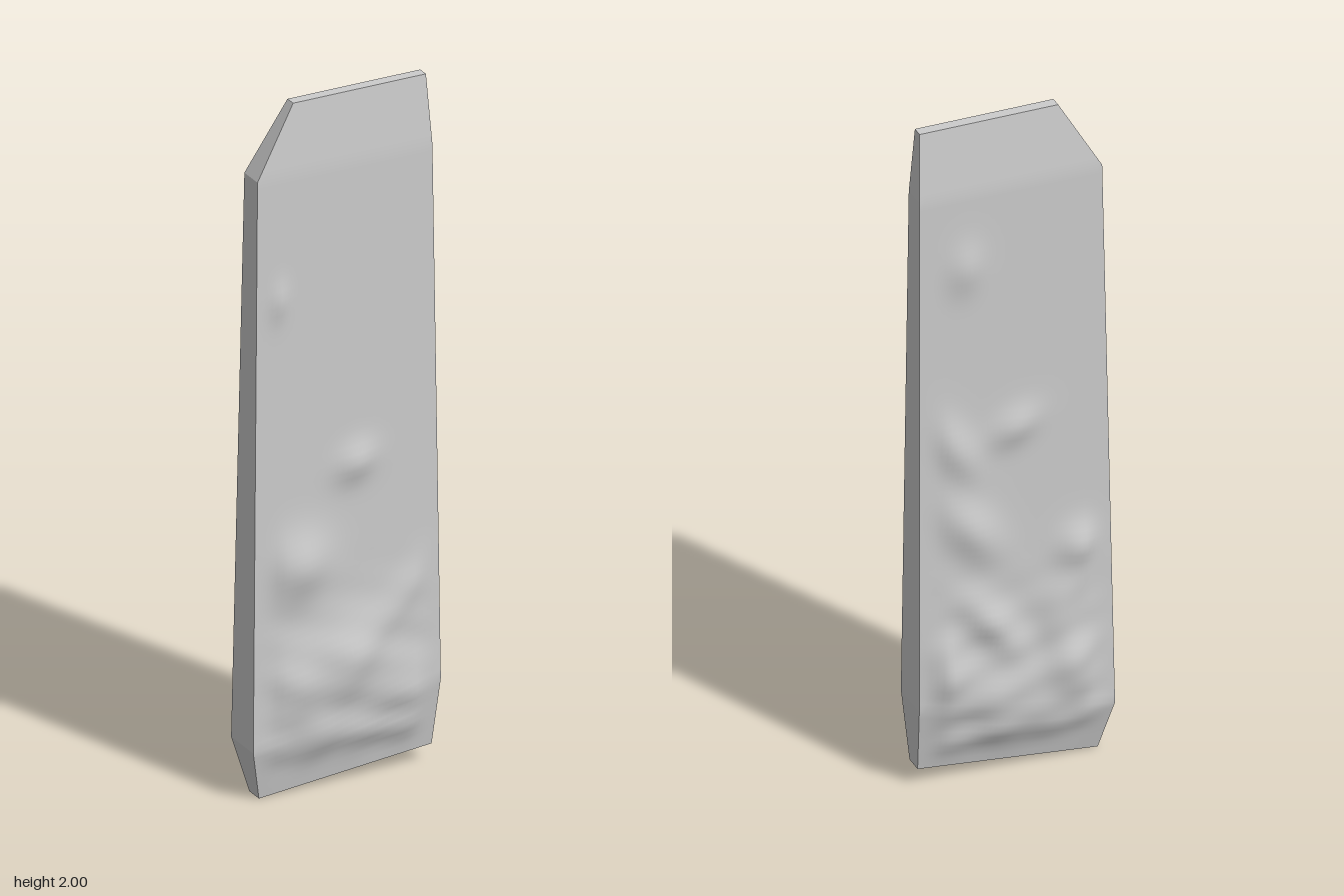
import * as THREE from 'three';

// Outline stations from foot to tip: left edge, right edge, front and back depth
const stations = [
  { l: [-0.25, 0], r: [0.27, 0.05], f: 0.025, b: -0.03 },
  { l: [-0.283, 0.15], r: [0.282, 0.25], f: 0.055, b: -0.07 },
  { l: [-0.257, 1.8], r: [0.27, 1.8], f: 0.03, b: -0.044 },
  { l: [-0.14, 2], r: [0.26, 2], f: 0.012, b: -0.02 },
];
const splits = [8, 70, 8];

// Worn lumps: x, y, x radius, y radius, tilt, height
const frontLumps = [
  [0.03, 0.93, 0.06, 0.05, 0.3, 0.02], [-0.14, 0.66, 0.09, 0.09, 0.4, 0.03],
  [0.0, 0.36, 0.12, 0.11, -0.3, 0.036], [0.15, 0.5, 0.05, 0.13, -0.7, 0.016],
  [-0.15, 0.3, 0.08, 0.12, 0.5, 0.022], [0.17, 0.25, 0.08, 0.08, 0, 0.018],
  [-0.05, 0.14, 0.16, 0.05, 0, 0.018], [0.16, 0.13, 0.1, 0.04, 0, 0.013],
  [-0.2, 1.44, 0.03, 0.05, 0, 0.012],
];
const backLumps = [
  [0.0, 1.06, 0.07, 0.05, -0.4, 0.018], [0.17, 1.02, 0.05, 0.11, -0.5, 0.02],
  [0.13, 0.77, 0.06, 0.12, -0.6, 0.026], [-0.18, 0.66, 0.06, 0.06, 0, 0.025],
  [-0.13, 0.5, 0.06, 0.1, 0.3, 0.02], [0.08, 0.48, 0.05, 0.14, -0.7, 0.024],
  [0.21, 0.35, 0.06, 0.12, -0.3, 0.032], [-0.15, 0.3, 0.08, 0.1, 0.4, 0.03],
  [0.04, 0.25, 0.08, 0.1, -0.4, 0.024], [0, 0.12, 0.24, 0.05, 0, 0.02],
  [0.14, 1.57, 0.05, 0.07, 0, 0.014],
];

const mix = THREE.MathUtils.lerp;

function lumpHeight(lumps, x, y) {
  let sum = 0;
  for (const [cx, cy, rx, ry, tilt, h] of lumps) {
    const c = Math.cos(tilt), s = Math.sin(tilt);
    const dx = x - cx, dy = y - cy;
    const a = (dx * c + dy * s) / rx, b = (dy * c - dx * s) / ry;
    sum += h * Math.exp(-(a * a + b * b));
  }
  // Fine chipping fades out towards the tip
  const worn = 1 - THREE.MathUtils.smoothstep(y, 0.3, 0.75);
  return sum + worn * 0.0035 * Math.sin(x * 31 + y * 19) * Math.sin(y * 37 - x * 13);
}

// Rows of the outline, subdivided between the stations
const rows = [];
splits.forEach((n, k) => {
  const a = stations[k], b = stations[k + 1];
  for (let i = k ? 1 : 0; i <= n; i++) {
    const t = i / n;
    rows.push({
      l: [mix(a.l[0], b.l[0], t), mix(a.l[1], b.l[1], t)],
      r: [mix(a.r[0], b.r[0], t), mix(a.r[1], b.r[1], t)],
      f: mix(a.f, b.f, t), b: mix(a.b, b.b, t),
    });
  }
});

// Surface point across a row; side is 'f' or 'b'
function facePoint(row, u, side) {
  const x = mix(row.l[0], row.r[0], u), y = mix(row.l[1], row.r[1], u);
  const edge = Math.min(1, Math.min(u, 1 - u) * 7);
  const foot = THREE.MathUtils.smoothstep(y, 0.03, 0.16);
  const h = lumpHeight(side === 'f' ? frontLumps : backLumps, x, y) * edge * foot;
  return [x, y, row[side] + (side === 'f' ? h : -h)];
}

// Grid of quads through a list of point rows
function sheet(grid, material, name) {
  const w = grid[0].length, index = [];
  for (let j = 0; j < grid.length - 1; j++) {
    for (let i = 0; i < w - 1; i++) {
      const a = j * w + i, c = a + w;
      index.push(a, a + 1, c + 1, a, c + 1, c);
    }
  }
  const geo = new THREE.BufferGeometry();
  geo.setAttribute('position', new THREE.Float32BufferAttribute(grid.flat(2), 3));
  geo.setIndex(index);
  geo.computeVertexNormals();
  const mesh = new THREE.Mesh(geo, material);
  mesh.name = name;
  return mesh;
}

export function createModel() {
  const group = new THREE.Group();
  group.name = 'stoneSlab';
  const stone = new THREE.MeshStandardMaterial({ color: 0xcccccc });
  const us = Array.from({ length: 37 }, (_, i) => i / 36);

  // Broad worn faces
  group.add(sheet(rows.map(r => us.map(u => facePoint(r, u, 'f'))), stone, 'frontFace'));
  group.add(sheet(rows.map(r => us.map(u => facePoint(r, 1 - u, 'b'))), stone, 'backFace'));

  // Narrow side faces, one flat panel between each pair of stations
  for (let k = 0; k < 3; k++) {
    const pair = stations.slice(k, k + 2);
    group.add(sheet(pair.map(s => [[...s.r, s.f], [...s.r, s.b]]), stone, 'leftSide' + k));
    group.add(sheet(pair.map(s => [[...s.l, s.b], [...s.l, s.f]]), stone, 'rightSide' + k));
  }

  // Flat tip and slanted foot
  const tip = stations[3], foot = stations[0];
  group.add(sheet([[[...tip.l, tip.f], [...tip.r, tip.f]], [[...tip.l, tip.b], [...tip.r, tip.b]]], stone, 'tip'));
  group.add(sheet([[[...foot.l, foot.b], [...foot.r, foot.b]], [[...foot.l, foot.f], [...foot.r, foot.f]]], stone, 'foot'));
  return group;
}
